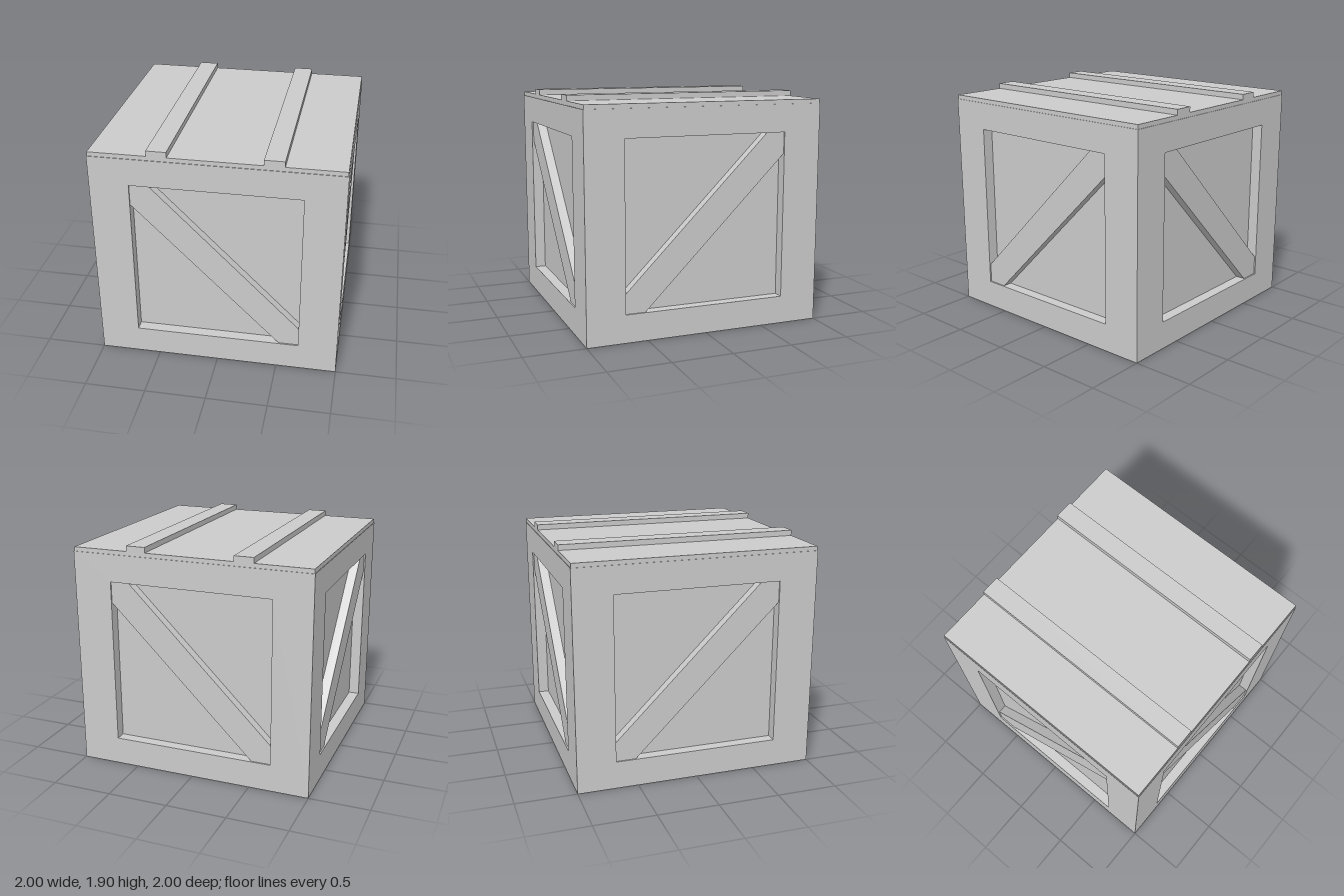
import * as THREE from 'three';

const material = new THREE.MeshStandardMaterial({ color: 0xcccccc, flatShading: true });

const HALF = 1;          // half width of the crate
const BODY_TOP = 1.825;  // top of the side walls
const LID_TOP = 1.86;
const TOP = 1.905;       // top of the battens
const DEPTH = 0.09;      // recess of the side panels
const LIP = 0.012;       // the brace sits slightly behind the frame
const LID_HALF = 0.995;
const OPEN = { x: 0.68, y0: 0.23, y1: 1.6 };

function addMesh(parent, name, geometry) {
  const mesh = new THREE.Mesh(geometry, material);
  mesh.name = name;
  parent.add(mesh);
  return mesh;
}

function addBox(parent, name, x, y0, y1, w, d) {
  addMesh(parent, name, new THREE.BoxGeometry(w, y1 - y0, d)).position.set(x, (y0 + y1) / 2, 0);
}

const polygon = (pts) => pts.map(([x, y]) => new THREE.Vector2(x, y));

// Square frame with a window, its upright ends mitred to meet the next side
function frameGeometry() {
  const shape = new THREE.Shape(polygon([[-HALF, 0], [HALF, 0], [HALF, BODY_TOP], [-HALF, BODY_TOP]]));
  const { x, y0, y1 } = OPEN;
  shape.holes.push(new THREE.Path(polygon([[-x, y0], [-x, y1], [x, y1], [x, y0]])));
  const geo = new THREE.ExtrudeGeometry(shape, { depth: DEPTH, bevelEnabled: false });
  const pos = geo.attributes.position;
  for (let i = 0; i < pos.count; i++) {
    if (Math.abs(pos.getX(i)) > 0.99 && pos.getZ(i) < DEPTH / 2) {
      pos.setX(i, Math.sign(pos.getX(i)) * (HALF - DEPTH));
    }
  }
  geo.translate(0, 0, HALF - DEPTH);
  geo.computeVertexNormals();
  return geo;
}

// Diagonal board; dir = 1 falls from upper left to lower right, -1 is mirrored
function braceGeometry(dir) {
  const { x, y0, y1 } = OPEN;
  const pts = [[-x, y1], [-x, 1.425], [0.515, y0], [x, y0], [x, 0.39], [-0.525, y1]];
  const shape = new THREE.Shape(polygon(pts.map(([px, py]) => [px * dir, py])));
  const geo = new THREE.ExtrudeGeometry(shape, { depth: DEPTH - LIP, bevelEnabled: false });
  return geo.translate(0, 0, HALF - DEPTH);
}

export function createModel() {
  const crate = new THREE.Group();
  crate.name = 'crate';

  // Inner box that shows as the recessed panels
  addBox(crate, 'innerBox', 0, 0, BODY_TOP, 2 * (HALF - DEPTH), 2 * (HALF - DEPTH));

  // Four framed sides; the brace direction alternates around the crate
  const frame = frameGeometry();
  ['front', 'left', 'back', 'right'].forEach((name, i) => {
    const side = new THREE.Group();
    side.name = name + 'Side';
    side.rotation.y = (i * Math.PI) / 2;
    addMesh(side, 'frame', frame);
    addMesh(side, 'brace', braceGeometry(i % 2 ? -1 : 1));
    crate.add(side);
  });

  // Lid with two battens running front to back
  addBox(crate, 'lid', 0, BODY_TOP, LID_TOP, 2 * LID_HALF, 2 * LID_HALF);
  for (const s of [-1, 1]) {
    addBox(crate, s > 0 ? 'leftBatten' : 'rightBatten', s * 0.45, LID_TOP, TOP, 0.16, 2 * LID_HALF);
  }
  return crate;
}
